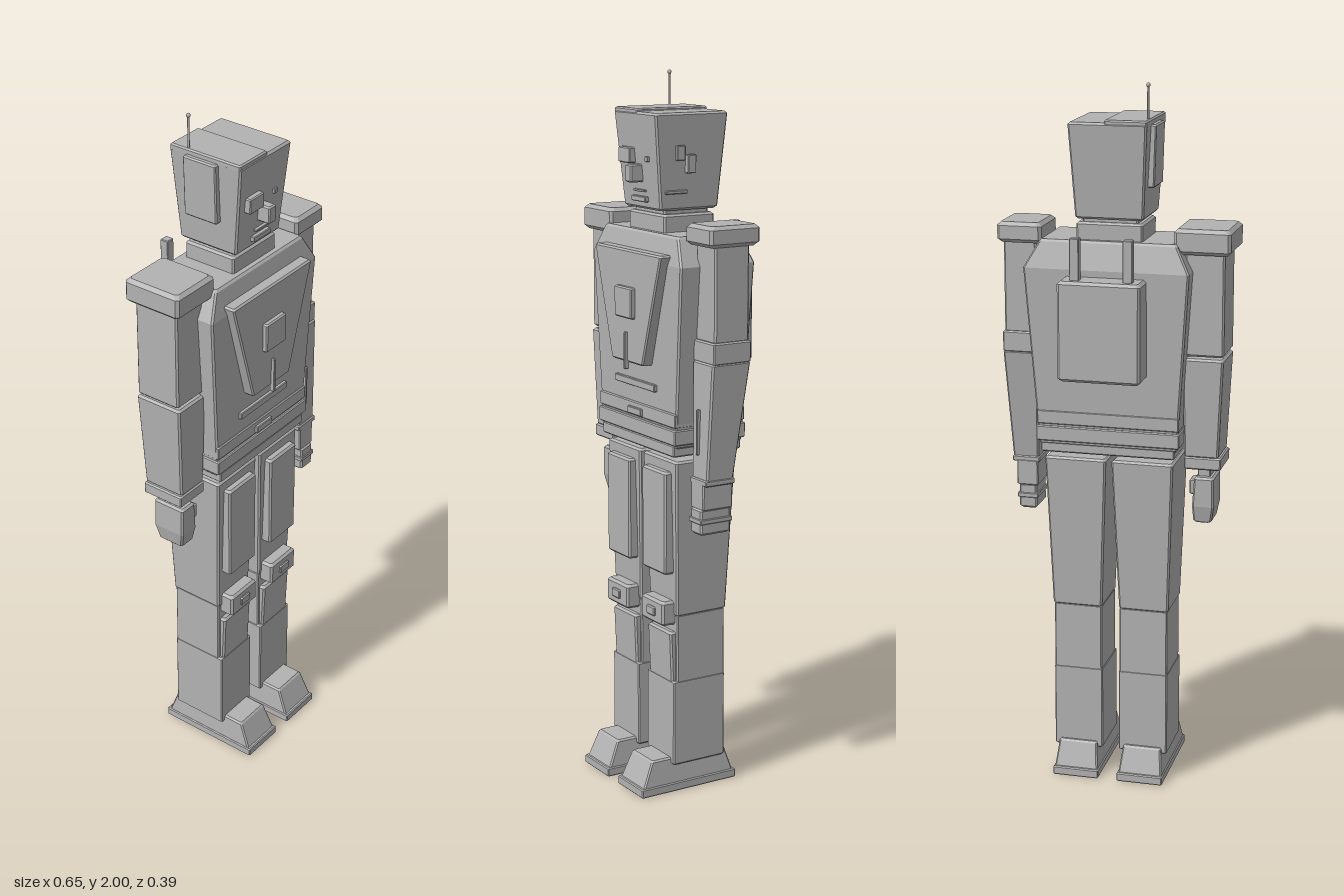
import * as THREE from 'three';

const grey = new THREE.MeshStandardMaterial({ color: 0xb2b2b2 });
grey.name = 'grey metal';

// Chamfered block through levels [y, x0, x1, z0, z1], listed from bottom to top.
function block(parent, name, levels, bevel = 0.006) {
  const first = levels[0], last = levels[levels.length - 1];
  const inset = ([y, x0, x1, z0, z1], newY, d) => [newY, x0 + d, x1 - d, z0 + d, z1 - d];
  const rows = [
    inset(first, first[0], bevel),
    inset(first, first[0] + bevel, 0),
    ...levels.slice(1, -1),
    inset(last, last[0] - bevel, 0),
    inset(last, last[0], bevel),
  ];
  // Each ring is a rectangle with cut corners.
  const rings = rows.map(([y, x0, x1, z0, z1]) => {
    const c = bevel * 0.8;
    return [
      [x0 + c, y, z1], [x1 - c, y, z1], [x1, y, z1 - c], [x1, y, z0 + c],
      [x1 - c, y, z0], [x0 + c, y, z0], [x0, y, z0 + c], [x0, y, z1 - c],
    ];
  });
  const pos = [];
  const tri = (a, b, c) => pos.push(...a, ...b, ...c);
  for (let r = 0; r < rings.length - 1; r++) {
    for (let i = 0; i < 8; i++) {
      const j = (i + 1) % 8;
      tri(rings[r][i], rings[r][j], rings[r + 1][j]);
      tri(rings[r][i], rings[r + 1][j], rings[r + 1][i]);
    }
  }
  const bottom = rings[0], top = rings[rings.length - 1];
  for (let i = 1; i < 7; i++) {
    tri(top[0], top[i], top[i + 1]);
    tri(bottom[0], bottom[i + 1], bottom[i]);
  }
  const geo = new THREE.BufferGeometry();
  geo.setAttribute('position', new THREE.Float32BufferAttribute(pos, 3));
  geo.computeVertexNormals();
  const mesh = new THREE.Mesh(geo, grey);
  mesh.name = name;
  parent.add(mesh);
  return mesh;
}

// Straight block from its extents.
const box = (parent, name, x0, x1, y0, y1, z0, z1, bevel = 0.006) =>
  block(parent, name, [[y0, x0, x1, z0, z1], [y1, x0, x1, z0, z1]], bevel);

function section(parent, name) {
  const g = new THREE.Group();
  g.name = name;
  parent.add(g);
  return g;
}

function buildHead(root) {
  const head = section(root, 'head');
  block(head, 'skull', [[1.635, -0.09, 0.1, -0.092, 0.092], [1.897, -0.103, 0.114, -0.114, 0.116]]);
  box(head, 'crownPlate', -0.103, 0.014, 1.885, 1.905, -0.112, 0.114, 0.004);
  box(head, 'collar', -0.085, 0.1, 1.565, 1.625, -0.08, 0.08);
  box(head, 'neck', -0.07, 0.085, 1.6, 1.645, -0.07, 0.07);
  // face
  box(head, 'squareEye', -0.07, -0.01, 1.757, 1.8, 0.095, 0.123, 0.003);
  box(head, 'smallEye', 0.05, 0.064, 1.765, 1.78, 0.095, 0.112, 0.002);
  box(head, 'nose', -0.008, 0.022, 1.708, 1.757, 0.09, 0.138, 0.004);
  box(head, 'upperLip', -0.02, 0.035, 1.682, 1.688, 0.08, 0.106, 0.001);
  box(head, 'mouth', -0.03, 0.042, 1.655, 1.67, 0.08, 0.106, 0.002);
  // side fittings
  block(head, 'rightEarPlate', [[1.72, -0.112, -0.09, -0.06, 0.045], [1.89, -0.117, -0.095, -0.06, 0.045]], 0.004);
  box(head, 'leftEarFront', 0.1, 0.118, 1.77, 1.81, 0.024, 0.05, 0.002);
  box(head, 'leftEarBack', 0.1, 0.122, 1.735, 1.785, -0.008, 0.018, 0.002);
  box(head, 'leftCheekBar', 0.095, 0.108, 1.68, 1.69, 0.01, 0.08, 0.002);
  // antenna
  const rod = new THREE.Mesh(new THREE.CylinderGeometry(0.003, 0.003, 0.1, 8), grey);
  rod.name = 'antennaRod';
  rod.position.set(-0.094, 1.945, -0.057);
  const tip = new THREE.Mesh(new THREE.SphereGeometry(0.006, 10, 8), grey);
  tip.name = 'antennaTip';
  tip.position.set(-0.094, 1.994, -0.057);
  head.add(rod, tip);
}

function buildTorso(root) {
  const torso = section(root, 'torso');
  block(torso, 'trunk', [
    [1.0, -0.19, 0.202, -0.108, 0.108],
    [1.5, -0.222, 0.24, -0.12, 0.116],
    [1.577, -0.185, 0.2, -0.1, 0.1],
  ]);
  box(torso, 'hipBlock', -0.182, 0.198, 0.978, 1.012, -0.106, 0.112, 0.004);
  // waist bands
  for (const [y0, y1, d] of [[1.012, 1.055, 0.004], [1.06, 1.1, 0.002]]) {
    box(torso, 'waistBand', -0.193 - d, 0.205 + d, y0, y1, -0.11 - d, 0.112 + d, 0.003);
  }
  box(torso, 'waistStrip', -0.1, 0.11, 1.145, 1.165, 0.09, 0.12, 0.002);
  box(torso, 'beltBuckle', -0.03, 0.04, 1.065, 1.085, 0.09, 0.122, 0.002);
  // chest
  block(torso, 'chestPlate', [[1.215, -0.077, 0.087, 0.09, 0.143], [1.527, -0.165, 0.18, 0.09, 0.143]], 0.005);
  box(torso, 'chestButton', -0.038, 0.05, 1.34, 1.426, 0.13, 0.157, 0.004);
  box(torso, 'chestRod', 0.002, 0.01, 1.196, 1.3, 0.138, 0.153, 0.002);
  // backpack with two pegs
  box(torso, 'backpack', -0.105, 0.125, 1.205, 1.482, -0.194, -0.1, 0.008);
  for (const x of [-0.065, 0.082]) {
    box(torso, 'backpackPeg', x - 0.013, x + 0.013, 1.47, 1.596, -0.171, -0.146, 0.002);
  }
}

function buildArms(root) {
  const right = section(root, 'rightArm');
  box(right, 'shoulderPad', -0.328, -0.172, 1.548, 1.618, -0.088, 0.088, 0.01);
  box(right, 'upperArm', -0.309, -0.2, 1.265, 1.555, -0.068, 0.068);
  block(right, 'forearm', [[0.975, -0.296, -0.2, -0.06, 0.066], [1.26, -0.309, -0.195, -0.072, 0.072]]);
  box(right, 'cuff', -0.303, -0.2, 0.942, 0.978, -0.06, 0.068, 0.004);
  block(right, 'hand', [
    [0.78, -0.274, -0.222, -0.035, 0.045],
    [0.83, -0.282, -0.22, -0.045, 0.055],
    [0.915, -0.28, -0.225, -0.045, 0.055],
  ]);
  box(right, 'thumb', -0.235, -0.203, 0.85, 0.895, 0.0, 0.045, 0.004);
  box(right, 'wrist', -0.268, -0.232, 0.905, 0.95, -0.025, 0.035, 0.003);

  const left = section(root, 'leftArm');
  box(left, 'shoulderPad', 0.2, 0.326, 1.558, 1.615, -0.08, 0.078, 0.01);
  box(left, 'upperArm', 0.222, 0.315, 1.3, 1.565, -0.052, 0.056);
  box(left, 'elbow', 0.22, 0.32, 1.245, 1.305, -0.056, 0.063, 0.004);
  block(left, 'forearm', [[0.922, 0.234, 0.308, -0.01, 0.075], [1.25, 0.22, 0.32, -0.055, 0.066]]);
  box(left, 'forearmSlot', 0.258, 0.266, 0.995, 1.12, 0.05, 0.08, 0.002);
  box(left, 'cuff', 0.23, 0.31, 0.915, 0.932, -0.014, 0.08, 0.003);
  box(left, 'hand', 0.235, 0.297, 0.845, 0.922, -0.015, 0.08, 0.004);
  box(left, 'fingers', 0.24, 0.292, 0.776, 0.85, -0.012, 0.084, 0.006);
  box(left, 'knuckleBand', 0.236, 0.296, 0.808, 0.822, -0.015, 0.087, 0.002);
}

function buildLeg(root, name, x) {
  const leg = section(root, name);
  leg.position.x = x;
  const s = Math.sign(x);
  // limb segments; the outer side tapers more than the inner one
  const span = (inner, outer) => (s > 0 ? [-inner, outer] : [-outer, inner]);
  block(leg, 'thigh', [
    [0.515, ...span(0.07, 0.073), -0.076, 0.086],
    [0.962, ...span(0.087, 0.088), -0.096, 0.098],
  ]);
  box(leg, 'upperShin', ...span(0.069, 0.07), 0.32, 0.52, -0.073, 0.083, 0.004);
  box(leg, 'lowerShin', ...span(0.071, 0.071), 0.08, 0.328, -0.074, 0.095, 0.004);
  // front armour
  block(leg, 'thighPlate', [[0.638, -0.06, 0.06, 0.07, 0.118], [0.93, -0.061, 0.061, 0.07, 0.118]]);
  box(leg, 'kneePad', -0.058, 0.058, 0.49, 0.56, 0.07, 0.124, 0.007);
  box(leg, 'kneeStud', -0.02, 0.02, 0.512, 0.538, 0.1, 0.13, 0.003);
  block(leg, 'shinPlate', [[0.22, -0.06, 0.06, 0.06, 0.09], [0.47, -0.061, 0.061, 0.06, 0.1]]);
  // foot
  block(leg, 'foot', [[0.015, -0.064, 0.064, -0.11, 0.19], [0.1, -0.056, 0.056, -0.085, 0.158]], 0.005);
  box(leg, 'sole', -0.067, 0.067, 0, 0.026, -0.117, 0.196, 0.003);
}

export function createModel() {
  const root = new THREE.Group();
  root.name = 'robot';
  buildHead(root);
  buildTorso(root);
  buildArms(root);
  buildLeg(root, 'rightLeg', -0.088);
  buildLeg(root, 'leftLeg', 0.102);
  return root;
}
